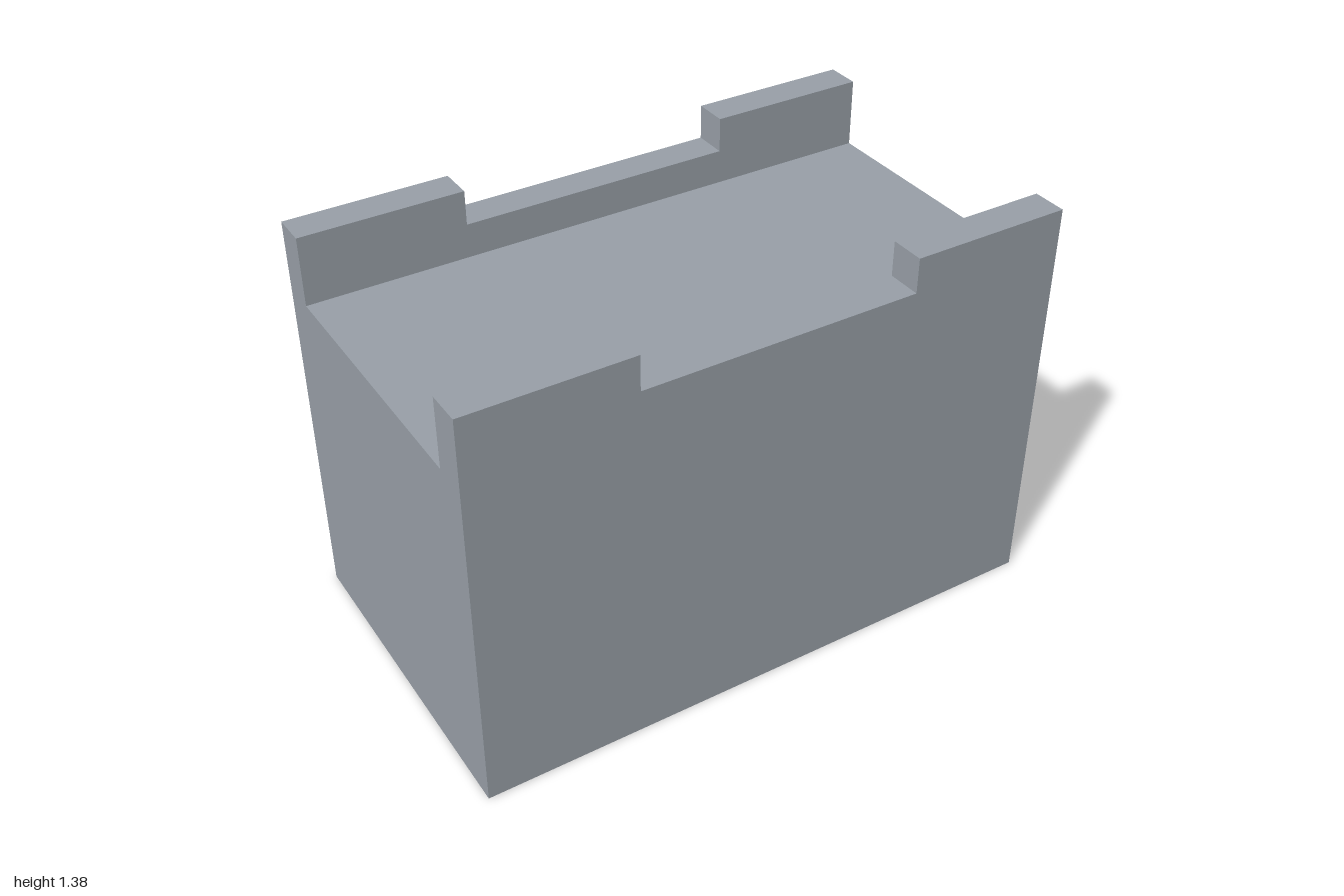
import * as THREE from 'three';

// Hollow block, open underneath, with two notched walls along its long sides
const HALF_X = 1, HALF_Z = 0.577, INNER_Z = 0.4615;
const DECK_Y = 1.154, NOTCH_Y = 1.269, TOP_Y = 1.385, NOTCH_X = 0.4615;

const grey = new THREE.MeshStandardMaterial({ color: 0x9aa1a9, side: THREE.DoubleSide });
grey.name = 'grey';

function addMesh(group, name, geometry) {
  const mesh = new THREE.Mesh(geometry, grey);
  mesh.name = name;
  group.add(mesh);
  return mesh;
}

const panel = (points) =>
  new THREE.ShapeGeometry(new THREE.Shape(points.map(([x, y]) => new THREE.Vector2(x, y))));

// Long wall face from a given base height up to the notched top edge
const notchedPanel = (base) => panel([
  [-HALF_X, base], [HALF_X, base], [HALF_X, TOP_Y], [NOTCH_X, TOP_Y],
  [NOTCH_X, NOTCH_Y], [-NOTCH_X, NOTCH_Y], [-NOTCH_X, TOP_Y], [-HALF_X, TOP_Y],
]);

// Upward-facing rectangle
const flat = (x0, x1, z0, z1, y) =>
  new THREE.PlaneGeometry(x1 - x0, z1 - z0).rotateX(-Math.PI / 2)
    .translate((x0 + x1) / 2, y, (z0 + z1) / 2);

// Front wall; the back wall is the same group turned half a circle
function createLongWall(name) {
  const wall = new THREE.Group();
  wall.name = name;
  addMesh(wall, 'outerFace', notchedPanel(0).translate(0, 0, HALF_Z));
  addMesh(wall, 'innerFace', notchedPanel(DECK_Y).rotateY(Math.PI).translate(0, 0, INNER_Z));
  addMesh(wall, 'notchFloor', flat(-NOTCH_X, NOTCH_X, INNER_Z, HALF_Z, NOTCH_Y));
  for (const s of [-1, 1]) {
    const [x0, x1] = s < 0 ? [-HALF_X, -NOTCH_X] : [NOTCH_X, HALF_X];
    addMesh(wall, 'wallTop', flat(x0, x1, INNER_Z, HALF_Z, TOP_Y));
    addMesh(wall, 'notchSide', new THREE.PlaneGeometry(HALF_Z - INNER_Z, TOP_Y - NOTCH_Y)
      .rotateY(-s * Math.PI / 2)
      .translate(s * NOTCH_X, (TOP_Y + NOTCH_Y) / 2, (INNER_Z + HALF_Z) / 2));
  }
  return wall;
}

export function createModel() {
  const model = new THREE.Group();
  model.name = 'notchedBlock';

  // Long walls
  const front = createLongWall('frontWall');
  const back = createLongWall('backWall');
  back.rotation.y = Math.PI;
  model.add(front, back);

  // U-topped end walls
  for (const s of [-1, 1]) {
    addMesh(model, s > 0 ? 'leftEnd' : 'rightEnd', panel([
      [-HALF_Z, 0], [HALF_Z, 0], [HALF_Z, TOP_Y], [INNER_Z, TOP_Y],
      [INNER_Z, DECK_Y], [-INNER_Z, DECK_Y], [-INNER_Z, TOP_Y], [-HALF_Z, TOP_Y],
    ]).rotateY(s * Math.PI / 2).translate(s * HALF_X, 0, 0));
  }

  // Deck between the long walls
  addMesh(model, 'deck', flat(-HALF_X, HALF_X, -INNER_Z, INNER_Z, DECK_Y));

  return model;
}
